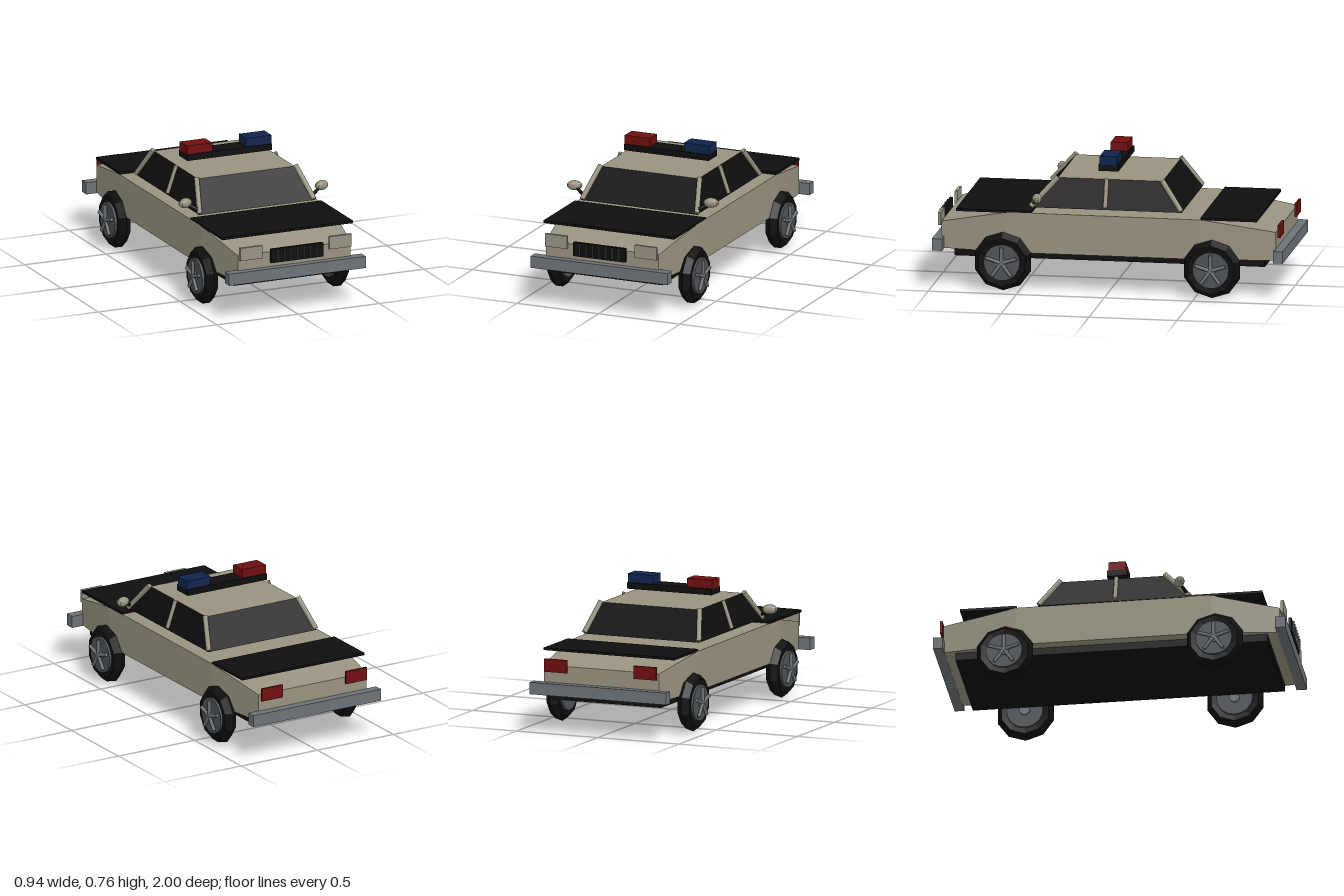
import * as THREE from 'three';

const paint = (name, color) => {
  const m = new THREE.MeshStandardMaterial({ color });
  m.name = name;
  return m;
};

export function createModel() {
  const car = new THREE.Group();
  car.name = 'policeCar';
  const tan = paint('tanPaint', 0x989280);
  const black = paint('black', 0x0e0e0e);
  const steel = paint('bumperSteel', 0x6c7377);
  const rimGrey = paint('rimGrey', 0x4d5359);
  const red = paint('redLight', 0x700f0f);
  const blue = paint('blueLight', 0x10244d);
  const lamp = paint('headlightGlass', 0x969283);

  const add = (parent, name, geo, mat) => {
    const mesh = new THREE.Mesh(geo, mat);
    mesh.name = name;
    parent.add(mesh);
    return mesh;
  };
  // Box given by its limits on each axis
  const box = (name, mat, [x0, x1], [y0, y1], [z0, z1], parent = car) => {
    const mesh = add(parent, name, new THREE.BoxGeometry(x1 - x0, y1 - y0, z1 - z0), mat);
    mesh.position.set((x0 + x1) / 2, (y0 + y1) / 2, (z0 + z1) / 2);
    return mesh;
  };
  // Flat-shaded copy of a geometry, optionally moving its vertices by a rule
  const faceted = (geo, rule) => {
    const p = geo.attributes.position;
    if (rule) for (let i = 0; i < p.count; i++) p.setXYZ(i, ...rule(p.getX(i), p.getY(i), p.getZ(i)));
    const flat = geo.toNonIndexed();
    flat.computeVertexNormals();
    return flat;
  };
  // Round bar between two points
  const bar = (name, mat, a, b, r, parent = car) => {
    const from = new THREE.Vector3(...a), to = new THREE.Vector3(...b);
    const mesh = add(parent, name, new THREE.CylinderGeometry(r, r, from.distanceTo(to), 8), mat);
    mesh.position.copy(from).add(to).multiplyScalar(0.5);
    mesh.quaternion.setFromUnitVectors(new THREE.Vector3(0, 1, 0), to.sub(from).normalize());
    return mesh;
  };

  // Body: four stations of [z, half width, top height]
  const stations = [[-0.95, 0.355, 0.372], [-0.535, 0.402, 0.437], [0.57, 0.402, 0.44], [0.95, 0.346, 0.363]];
  add(car, 'body', faceted(new THREE.BoxGeometry(2, 2, 3, 1, 1, 3), (x, y, z) => {
    const [sz, w, top] = stations[Math.round(z + 1.5)];
    return [x * w, y > 0 ? top : 0.21, sz];
  }), tan);
  box('chassis', black, [-0.337, 0.337], [0.167, 0.212], [-0.885, 0.88]);
  box('hood', black, [-0.402, 0.402], [0.436, 0.45], [0.43, 0.86]);
  box('trunkLid', black, [-0.402, 0.402], [0.436, 0.45], [-0.85, -0.53]);

  // Cabin: dark glass on the sides, painted roof on top
  add(car, 'cabin', faceted(new THREE.BoxGeometry(2, 2, 2), (x, y, z) =>
    y > 0 ? [x * 0.298, 0.627, z * 0.297] : [x * 0.355, 0.463, z > 0 ? 0.445 : -0.415]),
  [black, black, tan, black, black, black]);

  // Bumpers, grille and lamps
  box('frontBumper', steel, [-0.42, 0.42], [0.208, 0.276], [0.935, 0.993]);
  box('rearBumper', steel, [-0.42, 0.42], [0.208, 0.276], [-1, -0.945]);
  box('grille', black, [-0.16, 0.16], [0.307, 0.388], [0.972, 0.99]);
  for (let i = -3; i <= 3; i++)
    box('grilleSlat', rimGrey, [i * 0.04 - 0.003, i * 0.04 + 0.003], [0.313, 0.382], [0.985, 1]);

  for (const s of [-1, 1]) {
    const span = (a, b) => (s > 0 ? [a, b] : [-b, -a]);
    box('headlight', lamp, span(0.207, 0.342), [0.337, 0.411], [0.955, 0.972]);
    box('taillight', red, span(0.207, 0.345), [0.337, 0.411], [-0.972, -0.958]);

    // Window pillars
    bar('frontPillar', tan, [s * 0.352, 0.468, 0.442], [s * 0.304, 0.632, 0.296], 0.015);
    bar('middlePillar', tan, [s * 0.358, 0.475, 0.02], [s * 0.304, 0.63, 0.02], 0.012);
    bar('rearPillar', tan, [s * 0.352, 0.47, -0.412], [s * 0.304, 0.632, -0.296], 0.015);

    // Side mirror
    bar('mirrorArm', black, [s * 0.345, 0.485, 0.43], [s * 0.4, 0.515, 0.4], 0.01);
    const mirror = add(car, 'mirror', faceted(new THREE.SphereGeometry(1, 10, 8)), tan);
    mirror.scale.set(0.044, 0.028, 0.028);
    mirror.rotation.y = Math.PI / 10;
    mirror.position.set(s * 0.419, 0.528, 0.395);
  }

  // Light bar floating over the roof
  box('lightBar', black, [-0.26, 0.26], [0.665, 0.7], [-0.04, 0.075]);
  box('redBeacon', red, [-0.26, -0.104], [0.7, 0.75], [-0.03, 0.067]);
  box('blueBeacon', blue, [0.104, 0.26], [0.7, 0.75], [-0.03, 0.067]);

  // Wheels: ten-sided tyre with a ridged tread, rim disc, hub and five spokes
  const profile = [[0.1, -0.032], [0.139, -0.037], [0.167, 0], [0.139, 0.037], [0.1, 0.032], [0.1, -0.032]]
    .map(([r, y]) => new THREE.Vector2(r, y));
  const tyreGeo = faceted(new THREE.LatheGeometry(profile, 10).rotateY(Math.PI / 2).rotateZ(-Math.PI / 2));
  const disc = (r, w, n) => new THREE.CylinderGeometry(r, r, w, n).rotateZ(Math.PI / 2);
  for (const s of [-1, 1]) for (const z of [0.592, -0.595]) {
    const wheel = new THREE.Group();
    wheel.name = 'wheel';
    wheel.position.set(s * 0.403, 0.159, z);
    add(wheel, 'tyre', tyreGeo, black);
    add(wheel, 'rim', disc(0.103, 0.092, 20), rimGrey);
    add(wheel, 'hub', disc(0.03, 0.108, 12), steel);
    for (let i = 0; i < 5; i++) {
      const a = i * Math.PI * 0.4;
      bar('spoke', steel, [s * 0.058, 0, 0], [s * 0.058, 0.09 * Math.cos(a), 0.09 * Math.sin(a)], 0.01, wheel);
    }
    car.add(wheel);
  }
  return car;
}
